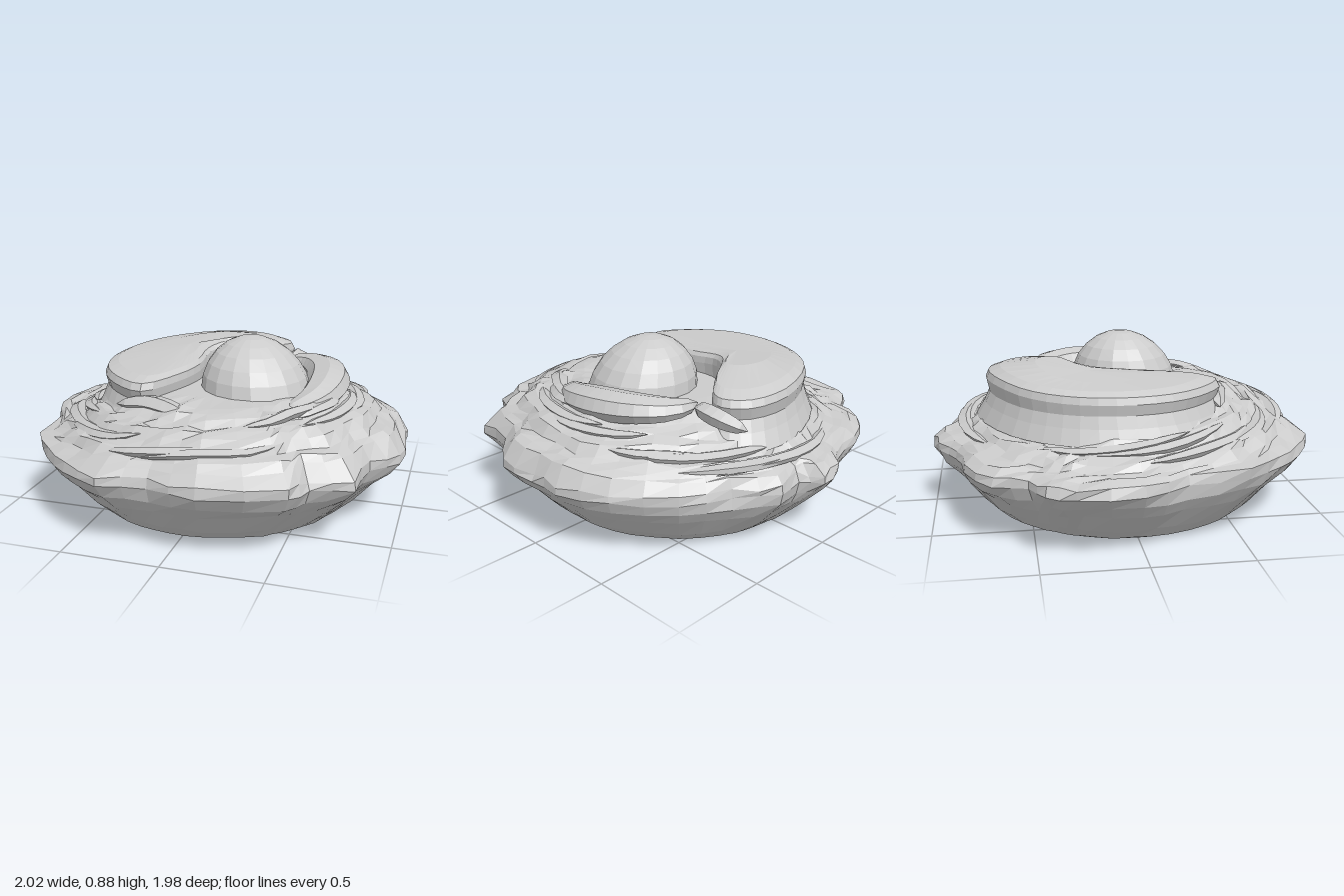
import * as THREE from 'three';

const material = new THREE.MeshStandardMaterial({ color: 0xcccccc, flatShading: true, side: THREE.DoubleSide });

function seeded(seed) {
  return () => {
    seed = (seed * 16807) % 2147483647;
    return seed / 2147483647;
  };
}

function addMesh(group, geometry, name) {
  const mesh = new THREE.Mesh(geometry, material);
  mesh.name = name;
  group.add(mesh);
  return mesh;
}

const toVectors = (points) => points.map((p) => new THREE.Vector3(...p));

// Closed curve on the ground plane from [x, z] pairs
function outline(pairs, count) {
  const curve = new THREE.CatmullRomCurve3(pairs.map(([x, z]) => new THREE.Vector3(x, 0, z)), true);
  return Array.from({ length: count }, (_, i) => curve.getPoint(i / count));
}

// Skin a stack of closed rings, bottom to top
function loft(rings) {
  const n = rings[0].length;
  const index = [];
  for (let i = 0; i < rings.length - 1; i++) {
    for (let j = 0; j < n; j++) {
      const a = i * n + j, b = i * n + (j + 1) % n;
      index.push(a, a + n, b, b, a + n, b + n);
    }
  }
  const geometry = new THREE.BufferGeometry().setFromPoints(rings.flat());
  geometry.setIndex(index);
  geometry.computeVertexNormals();
  return geometry;
}

// Tube that narrows towards both ends and is squashed in height
function taperedTube(points, radius, flat, segments, sides) {
  const path = new THREE.CatmullRomCurve3(points);
  const geometry = new THREE.TubeGeometry(path, segments, radius, sides);
  const pos = geometry.attributes.position;
  const v = new THREE.Vector3();
  for (let i = 0; i <= segments; i++) {
    const c = path.getPointAt(i / segments);
    const s = 0.05 + 0.95 * Math.pow(Math.sin(Math.PI * i / segments), 0.5);
    for (let j = 0; j <= sides; j++) {
      const k = i * (sides + 1) + j;
      v.fromBufferAttribute(pos, k).sub(c).multiplyScalar(s);
      pos.setXYZ(k, c.x + v.x, c.y + v.y * flat, c.z + v.z);
    }
  }
  geometry.computeVertexNormals();
  return geometry;
}

const RIM = [
  [0.99, 0], [1, 0.24], [0.86, 0.4], [0.83, 0.65], [0.64, 0.74], [0.57, 0.86], [0.17, 0.98],
  [-0.08, 0.93], [-0.32, 0.96], [-0.54, 0.84], [-0.7, 0.7], [-0.84, 0.5], [-0.89, 0.2], [-1, -0.02],
  [-0.98, -0.33], [-0.92, -0.46], [-0.79, -0.53], [-0.73, -0.7], [-0.5, -0.83], [-0.27, -0.87],
  [-0.15, -0.96], [0.01, -0.99], [0.08, -0.89], [0.23, -0.92], [0.43, -0.78], [0.66, -0.66],
  [0.88, -0.42], [0.99, -0.18],
];

const SLAB = [
  [-0.28, 0.48], [-0.46, 0.38], [-0.6, 0.18], [-0.64, -0.1], [-0.57, -0.35], [-0.4, -0.55],
  [-0.05, -0.7], [0.18, -0.67], [0.27, -0.56], [0.24, -0.47], [-0.03, -0.28], [-0.11, -0.15],
  [-0.11, 0.05], [-0.16, 0.26],
];

// Height of the crust: it falls outwards, is higher at the front left and carries spiral ripples
function crustHeight(r, a) {
  const k = Math.sin(Math.PI * THREE.MathUtils.clamp((r - 0.5) / 0.5, 0, 1));
  const lean = k * (0.05 * Math.cos(a) + 0.035 * Math.sin(a));
  return 0.415 + (0.92 - r) * 0.5 + lean + 0.01 * k * Math.sin(r * 50 + a * 2);
}

// Bowl wall up to the ragged rim, then the stepped crust inside it
function bowlGeometry() {
  const random = seeded(71);
  const rim = outline(RIM, 56);
  // [radius, height, share of the rim outline, jitter]
  const wall = [
    [0, 0.004, 0, 0], [0.665, 0, 0, 0], [0.705, 0.02, 0.05, 0.003], [0.77, 0.085, 0.15, 0.006],
    [0.87, 0.2, 0.35, 0.008], [0.925, 0.27, 0.65, 0.008], [0.95, 0.335, 1, 0.008], [0.945, 0.38, 1, 0.014],
  ];
  const crust = [0.9, 0.87, 0.83, 0.79, 0.75, 0.71, 0.67, 0.63, 0.58, 0.52];
  const ring = (r, share, jitter, height) => rim.map((p) => {
    const wobble = () => (random() - 0.5) * 2 * jitter;
    const target = r * THREE.MathUtils.lerp(1, p.length() / 0.95, share) + wobble();
    const a = Math.atan2(p.z, p.x);
    return new THREE.Vector3(Math.cos(a) * target, Math.max(0, height(a) + wobble()), Math.sin(a) * target);
  });
  return loft([
    ...wall.map(([r, y, share, jitter]) => ring(r, share, jitter, (a) => y + y * y * 0.12 * Math.sin(a))),
    ...crust.map((r) => ring(r, Math.max(0, (r - 0.65) * 2.8), 0.012, (a) => crustHeight(r, a))),
    ring(0.35, 0, 0, () => 0.62),
    ring(0, 0, 0, () => 0.62),
  ]);
}

// Smooth raised slab wrapping around the back and right, highest beside the hollow
function slabGeometry() {
  const edge = outline(SLAB, 42);
  const steps = [
    [1.12, 0.47], [1.03, 0.55], [0.98, 0.61], [1.01, 0.665], [0.98, 0.7], [0.86, 0.72], [0.5, 0.73], [0, 0.73],
  ];
  return loft(steps.map(([s, y]) => edge.map((p) => {
    const x = -0.25 + (p.x + 0.25) * s;
    const z = -0.2 + (p.z + 0.2) * s;
    const peak = 0.05 * Math.exp(-((x + 0.05) ** 2 + (z + 0.38) ** 2) / 0.08);
    return new THREE.Vector3(x, y + (y > 0.62 ? peak : 0), z);
  })));
}

// Ball, a little flattened, its crown narrowing and leaning to the right
function ballGeometry() {
  const geometry = new THREE.SphereGeometry(1, 18, 12);
  const pos = geometry.attributes.position;
  for (let i = 0; i < pos.count; i++) {
    const y = pos.getY(i);
    const width = 0.29 * (1 - 0.08 * y);
    pos.setXYZ(i, pos.getX(i) * width - 0.035 * y, y * 0.265, pos.getZ(i) * width - 0.025 * y);
  }
  geometry.computeVertexNormals();
  return geometry;
}

export function createModel() {
  const model = new THREE.Group();
  addMesh(model, bowlGeometry(), 'bowl');
  addMesh(model, slabGeometry(), 'raisedSlab');
  addMesh(model, ballGeometry(), 'ball').position.set(0.205, 0.615, 0.06);

  // Curled fold hugging the ball
  const fold = [
    [0.27, 0.65, -0.4], [0.42, 0.65, -0.36], [0.53, 0.645, -0.22], [0.57, 0.63, -0.02], [0.54, 0.605, 0.2],
    [0.42, 0.58, 0.36],
  ];
  addMesh(model, taperedTube(toVectors(fold), 0.115, 0.68, 16, 8), 'curledFold');

  // Crumpled ridges at the two ends of the slab
  const ridges = [
    [[0.24, 0.58, -0.7], [0.29, 0.62, -0.6], [0.3, 0.64, -0.48], [0.26, 0.62, -0.4]],
    [[-0.42, 0.58, 0.46], [-0.25, 0.605, 0.47], [-0.12, 0.6, 0.51], [0.02, 0.58, 0.57]],
  ];
  for (const points of ridges) {
    addMesh(model, taperedTube(toVectors(points), 0.06, 0.75, 8, 5), 'crumpledRidge');
  }

  // Layered strands half sunk in the crust
  const random = seeded(19);
  const strands = new THREE.Group();
  strands.name = 'crustStrands';
  model.add(strands);
  for (let i = 0; i < 16; i++) {
    const start = i * 2.4;
    const span = 0.7 + random() * 0.5;
    const radius = 0.65 + (i % 4) * 0.06;
    const points = [0, 1, 2, 3, 4].map((k) => {
      const a = start + span * k / 4;
      const r = radius + 0.06 * (k / 4 - 0.5) + (random() - 0.5) * 0.02;
      return new THREE.Vector3(r * Math.cos(a), crustHeight(r, a), r * Math.sin(a));
    });
    addMesh(strands, taperedTube(points, 0.045, 0.55, 8, 5), 'strand');
  }
  return model;
}
